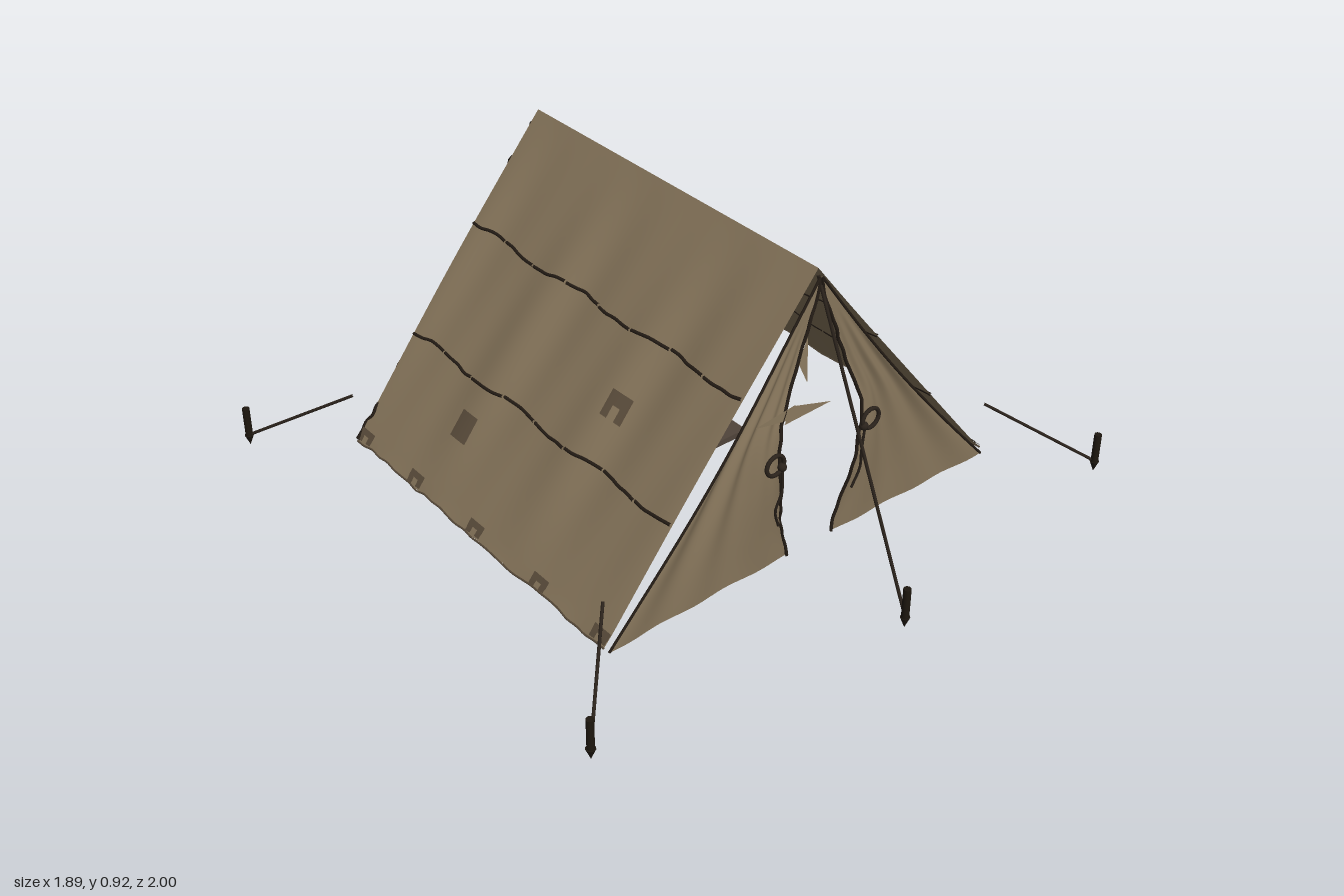
import * as THREE from 'three';
import { ParametricGeometry } from 'three/addons/geometries/ParametricGeometry.js';

const mat = (name, color, side = THREE.FrontSide) => {
  const m = new THREE.MeshStandardMaterial({ color, side });
  m.name = name;
  return m;
};
const V = (x, y, z) => new THREE.Vector3(x, y, z);

export function createModel() {
  const tent = new THREE.Group();
  tent.name = 'tent';
  const canvas = mat('canvas', 0x85745a, THREE.DoubleSide);
  const darkCanvas = mat('darkCanvas', 0x4d4032, THREE.DoubleSide);
  const patchCloth = mat('patchCloth', 0x5a4c3b, THREE.DoubleSide);
  const bedding = mat('bedding', 0x50443a);
  const stitch = mat('stitch', 0x251d16);
  const rope = mat('rope', 0x2a221b);
  const wood = mat('pegWood', 0x1d170f);

  let seed = 7;
  const rand = () => (seed = (seed * 16807) % 2147483647) / 2147483647;
  const jitter = a => (rand() - 0.5) * 2 * a;

  const add = (name, geometry, material, parent = tent) => {
    const m = new THREE.Mesh(geometry, material);
    m.name = name;
    parent.add(m);
    return m;
  };
  const sheet = (name, fn, nu, nv, material) =>
    add(name, new ParametricGeometry((u, v, t) => t.copy(fn(u, v)), nu, nv), material);
  const tube = (name, points, radius, material, sides = 5) =>
    add(name, new THREE.TubeGeometry(new THREE.CatmullRomCurve3(points), points.length * 3, radius, sides), material);
  const line = (name, a, b, radius, material) =>
    add(name, new THREE.TubeGeometry(new THREE.LineCurve3(a, b), 1, radius, 6), material);

  // Roof surface: s runs from ridge to eave, off lifts along the slope normal
  const roof = (side, s, z, off = 0) => {
    const d = off + 0.006 * Math.sin(Math.PI * s) * (Math.sin(z * 17 + side) + 0.6 * Math.sin(z * 31 + s * 3));
    const ragged = s > 0.98 ? 0.004 * Math.sin(z * 23) : 0;
    return V(side * (0.7 * s + 0.779 * d), 0.92 - 0.87 * s + 0.627 * d + ragged, z);
  };
  const roofPiece = (name, side, s0, s1, z0, z1) =>
    sheet(name, (u, v) => roof(side, s0 + (s1 - s0) * u, z0 + (z1 - z0) * v, 0.004), 4, 6, patchCloth);
  // Patch with a notch in its lower or upper middle
  const notchedPatch = (name, side, s0, s1, z, w, notchDown) => {
    const mid = (s0 + s1) / 2;
    roofPiece(name, side, s0, s1, z - w / 2, z - w / 6);
    roofPiece(name, side, s0, s1, z + w / 6, z + w / 2);
    if (notchDown) roofPiece(name, side, s0, mid, z - w / 6, z + w / 6);
    else roofPiece(name, side, mid, s1, z - w / 6, z + w / 6);
  };

  for (const side of [-1, 1]) {
    sheet('roofSlope', (u, v) => roof(side, u, -0.6 + 1.2 * v), 24, 60, canvas);

    // Broken stitched seams along the slope
    for (const s of [0.345, 0.675]) {
      for (let i = 0; i < 8; i++) {
        const pts = [];
        for (let k = 0; k <= 4; k++) {
          const z = -0.598 + 0.15 * i + 0.036 * k;
          pts.push(roof(side, s + 0.007 * Math.sin(z * 16) + jitter(0.003), z, 0.002));
        }
        tube('roofSeam', pts, 0.005, stitch);
      }
    }

    // Patches and eave tabs
    roofPiece('roofPatch', side, 0.755, 0.83, -0.26, -0.19);
    notchedPatch('roofPatch', side, 0.49, 0.56, 0.24, 0.075, true);
    for (const z of [-0.568, -0.3, 0, 0.3, 0.568]) notchedPatch('eaveTab', side, 0.962, 0.995, z, 0.065, true);

    // Frayed eave hem
    const hem = [];
    for (let k = 0; k <= 30; k++) hem.push(roof(side, 1 + jitter(0.003), -0.6 + 0.04 * k, 0));
    tube('eaveHem', hem, 0.003, patchCloth);
  }

  // Back wall
  const back = (x, v, off = 0) => {
    const w = 0.695 * (1 - v) + 0.001 - 0.02 * Math.sin(Math.PI * v);
    return V(x * w, 0.05 + 0.855 * v, -0.603 - off + 0.006 * Math.sin(x * w * 28) * (1 - v));
  };
  sheet('backWall', (u, v) => back(1 - 2 * u, v), 40, 20, darkCanvas);
  for (const x of [-0.36, 0, 0.36]) {
    const top = 0.9 - Math.abs(x) * 1.15;
    const pts = [];
    for (let k = 0; k <= 8; k++) {
      const v = top * k / 8;
      pts.push(back(x / (0.695 * (1 - v) + 0.001 - 0.02 * Math.sin(Math.PI * v)), v, 0.003));
    }
    tube('backSeam', pts, 0.004, stitch);
  }
  for (const side of [-1, 1]) {
    const pts = [];
    for (let k = 0; k <= 40; k++) pts.push(back(side, k / 41, 0).add(V(jitter(0.006), jitter(0.006), jitter(0.007))));
    tube('backSideHem', pts, 0.008, stitch);
  }
  const backHem = [];
  for (let k = 0; k <= 50; k++) backHem.push(back(-1 + k / 25, 0, 0).add(V(0, jitter(0.006), jitter(0.005))));
  tube('backBottomHem', backHem, 0.006, stitch);

  // Front door flaps, pulled apart in the middle
  const innerEdge = new THREE.SplineCurve(
    [0.085, 0.12, 0.14, 0.145, 0.095, 0.045, 0].map((x, i) => new THREE.Vector2(x, i)));
  const flap = (side, u, v, off = 0) => {
    const outer = 0.69 * (1 - v) + 0.002 - 0.026 * Math.sin(Math.PI * v);
    const inner = innerEdge.getPoint(v).x;
    const x = outer + (inner - outer) * u;
    const bulge = 0.035 * u ** 4 * Math.exp(-(((v - 0.38) / 0.25) ** 2));
    const fold = 0.007 * Math.sin(u * 17 + v * 3) * Math.sin(Math.PI * Math.min(1, v + 0.15));
    return V(side * x, 0.042 + 0.858 * v + 0.012 * u * (1 - v), 0.612 + bulge + fold + off);
  };
  for (const side of [-1, 1]) {
    sheet('doorFlap', (u, v) => flap(side, u, v), 30, 30, canvas);
    const edge = [], outer = [];
    for (let k = 0; k <= 24; k++) {
      edge.push(flap(side, 1, k / 24).add(V(jitter(0.002), 0, jitter(0.004))));
      outer.push(flap(side, 0, k / 24));
    }
    tube('flapEdge', edge, 0.005, stitch);
    tube('flapOuterHem', outer, 0.004, stitch);

    // Tie ring, knot and hanging tail
    const ring = add('tieRing', new THREE.TorusGeometry(0.03, 0.006, 8, 24), rope);
    ring.position.set(side * 0.172, 0.415, 0.652);
    const knot = add('tieKnot', new THREE.SphereGeometry(0.013, 10, 8), rope);
    knot.position.set(side * 0.148, 0.4, 0.652);
    tube('tieTail', [V(side * 0.15, 0.4, 0.655), V(side * 0.145, 0.32, 0.652), V(side * 0.155, 0.25, 0.64),
      V(side * 0.135, 0.19, 0.632)], 0.004, rope);
  }

  // Torn slivers of cloth on the right-hand flap
  const sliver = (a, b, c) => add('tornSliver', new THREE.BufferGeometry().setFromPoints([a, b, c]), canvas)
    .geometry.computeVertexNormals();
  sliver(V(-0.23, 0.545, 0.632), V(-0.1, 0.52, 0.635), V(-0.09, 0.56, 0.632));
  sliver(V(-0.13, 0.515, 0.635), V(0.03, 0.525, 0.64), V(-0.1, 0.56, 0.632));
  sliver(V(-0.07, 0.67, 0.615), V(-0.06, 0.62, 0.64), V(-0.04, 0.74, 0.615));

  // Sleeping mat
  const mattress = add('sleepingMat', new THREE.BoxGeometry(0.44, 0.018, 0.6), bedding);
  mattress.position.set(0, 0.05, -0.2);

  // Guy lines and pegs
  const peg = (x, z) => {
    const g = new THREE.Group();
    g.name = 'peg';
    g.position.set(x, 0, z);
    add('pegShaft', new THREE.CylinderGeometry(0.011, 0.011, 0.1, 10), wood, g).position.y = 0.08;
    const tip = add('pegTip', new THREE.ConeGeometry(0.014, 0.035, 10), wood, g);
    tip.rotation.x = Math.PI;
    tip.position.y = 0.0175;
    tent.add(g);
  };
  for (const f of [-1, 1]) {
    line('ridgeGuyLine', V(0, 0.9, f * 0.6), V(0, 0.035, f * 0.986), 0.005, rope);
    peg(0, f * 0.986);
    for (const side of [-1, 1]) {
      line('cornerGuyLine', V(side * 0.7, 0.207, f * 0.6), V(side * 0.93, 0.035, f * 0.846), 0.005, rope);
      peg(side * 0.93, f * 0.846);
    }
  }
  return tent;
}
